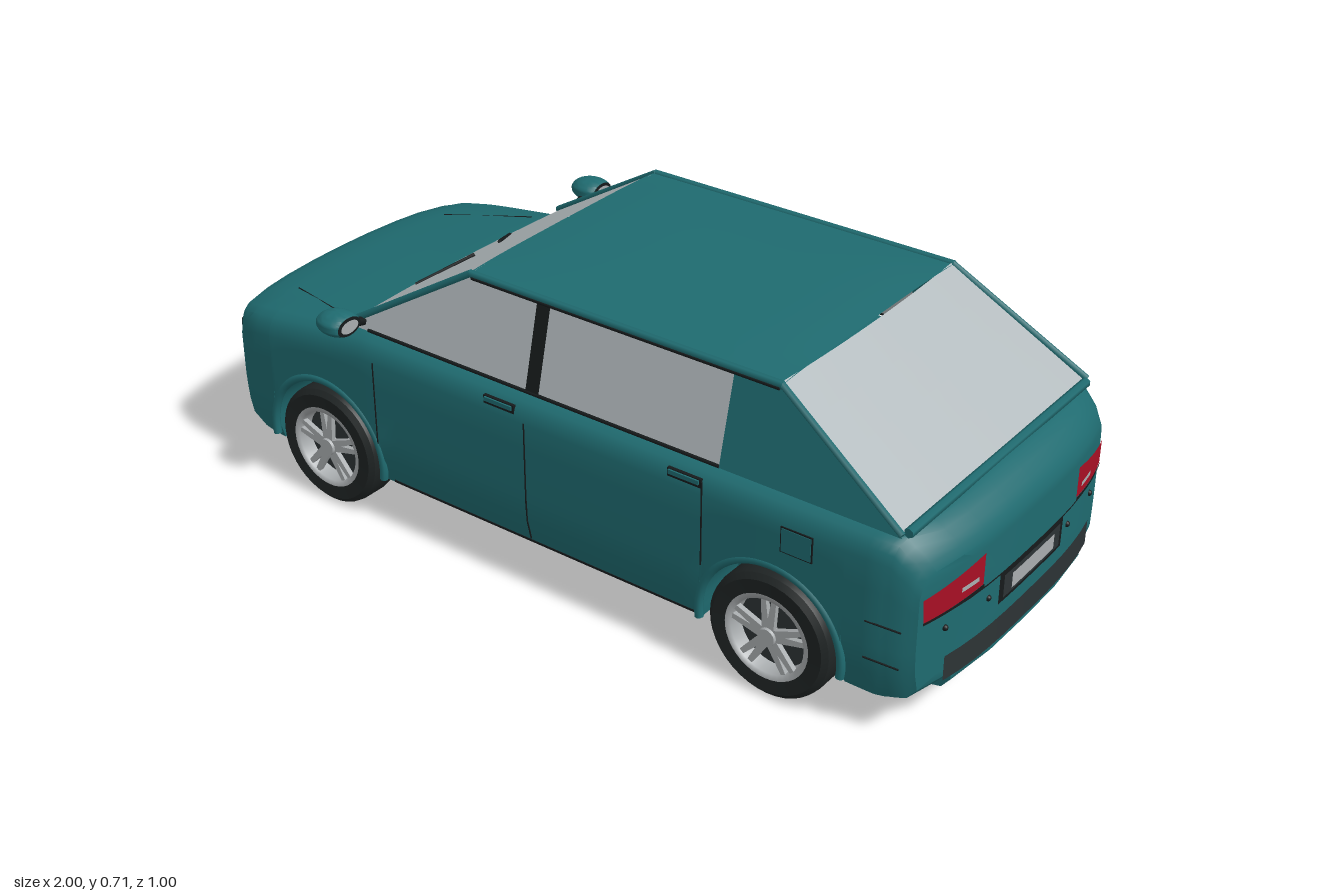
import * as THREE from 'three';
import { toCreasedNormals } from 'three/addons/utils/BufferGeometryUtils.js';

const paint = (name, color, side = THREE.FrontSide) => {
  const m = new THREE.MeshStandardMaterial({ color, side });
  m.name = name;
  return m;
};
const V = (x, y, z) => new THREE.Vector3(x, y, z);

// Piecewise linear lookup in [[x, value], ...]
const table = (t, x) => {
  let i = 1;
  while (i < t.length - 1 && x > t[i][0]) i++;
  const [a, b] = [t[i - 1], t[i]];
  return THREE.MathUtils.lerp(a[1], b[1], THREE.MathUtils.clamp((x - a[0]) / (b[0] - a[0]), 0, 1));
};

const END = 0.99, AXLES = [-0.63, 0.62], ARCH = 0.172, AXLE_Y = 0.15;
const topY = x => table([[-0.99, 0.385], [-0.97, 0.413], [-0.9, 0.432], [-0.75, 0.455], [-0.6, 0.475],
  [-0.5, 0.487], [0.88, 0.49], [0.93, 0.485], [0.97, 0.455], [0.99, 0.42]], x);
const bottomY = x => table([[-0.99, 0.12], [-0.96, 0.095], [-0.88, 0.08], [-0.82, 0.08], [-0.4, 0.1],
  [0.4, 0.1], [0.82, 0.08], [0.9, 0.08], [0.97, 0.095], [0.99, 0.12]], x);
const halfWidth = x => table([[-0.99, 0.36], [-0.965, 0.385], [-0.9, 0.403], [-0.8, 0.413], [-0.5, 0.417],
  [0.6, 0.418], [0.88, 0.414], [0.96, 0.402], [0.99, 0.385]], x);
const sideZ = (x, y) => halfWidth(x) * (1 - 0.06 * (Math.max(0, 0.22 - y) / 0.12) ** 2);
// The nose and tail bow back towards the corners
const warpX = (x, z) => x - Math.sign(x) * 0.055 * (Math.abs(z) / 0.42) ** 3 * THREE.MathUtils.smoothstep(Math.abs(x), 0.8, END);

// One closed cross-section of the lower body, with wheel wells
function section(x) {
  const top = topY(x), bot = bottomY(x), w = halfWidth(x);
  let sill = bot + 0.02;
  for (const a of AXLES) {
    const d = Math.abs(x - a);
    if (d <= ARCH + 1e-6) sill = AXLE_Y + Math.sqrt(Math.max(0, ARCH * ARCH - d * d));
  }
  const half = [[0, bot], [0.14, bot], [0.28, bot], [0.28, sill]];
  for (let k = 0; k <= 5; k++) {
    const y = THREE.MathUtils.lerp(sill, top - 0.06, k / 5);
    half.push([sideZ(x, y), y]);
  }
  half.push([w * 0.985, top - 0.035], [w * 0.955, top - 0.017], [w * 0.9, top - 0.007],
    [w * 0.7, top - 0.002], [w * 0.5, top], [w * 0.25, top + 0.002], [0, top + 0.003]);
  const back = half.slice(1, -1).reverse().map(([z, y]) => [-z, y]);
  return half.concat(back);
}

function bodyGeometry() {
  const xs = [-0.99, -0.98, -0.965, -0.94, -0.9, -0.86, -0.4, -0.2, 0, 0.2, 0.4, 0.85, 0.88, 0.91, 0.93, 0.95, 0.97, 0.98, 0.99];
  for (const a of AXLES) {
    xs.push(a - ARCH - 0.002, a + ARCH + 0.002);
    for (let i = 0; i <= 20; i++) xs.push(a - ARCH * Math.cos(Math.PI * i / 20));
  }
  xs.sort((a, b) => a - b);
  const rings = xs.map(x => [x, 1]);
  for (const s of [0.85, 0.65, 0.45, 0.2, 0]) { rings.unshift([-END, s]); rings.push([END, s]); }
  const pos = [], idx = [], n = section(0).length;
  rings.forEach(([x, s], i) => section(x).forEach(([z, y], j) => {
    pos.push(warpX(x, z * s), 0.27 + (y - 0.27) * s, z * s);
    if (i === rings.length - 1) return;
    const k = (j + 1) % n, a = i * n, b = a + n;
    idx.push(a + j, b + j, b + k, a + j, b + k, a + k);
  }));
  const g = new THREE.BufferGeometry();
  g.setAttribute('position', new THREE.Float32BufferAttribute(pos, 3));
  g.setIndex(idx);
  return toCreasedNormals(g, 0.6);
}

// Grid between four corners, each point moved by a rule
function patch(a, b, c, d, rule = p => p, nu = 12, nv = 4) {
  const g = new THREE.PlaneGeometry(1, 1, nu, nv), p = g.attributes.position;
  for (let i = 0; i < p.count; i++) {
    const u = p.getX(i) + 0.5, v = p.getY(i) + 0.5;
    const q = rule(a.clone().lerp(b, u).lerp(d.clone().lerp(c, u), v), u, v);
    p.setXYZ(i, q.x, q.y, q.z);
  }
  g.computeVertexNormals();
  return g;
}

export function createModel() {
  const car = new THREE.Group();
  car.name = 'car';
  const D = THREE.DoubleSide;
  const teal = paint('teal paint', 0x1f6b70, D), glass = paint('pale glass', 0xb2babd, D);
  const black = paint('black trim', 0x161a1b, D), rubber = paint('tyre rubber', 0x1f2424);
  const silver = paint('silver', 0xa9adaf, D), red = paint('lamp red', 0xa80f24, D);
  const grey = paint('dark grey', 0x2c3335, D);

  const add = (name, geo, mat, x = 0, y = 0, z = 0, parent = car) => {
    const m = new THREE.Mesh(geo, mat);
    m.name = name;
    m.position.set(x, y, z);
    parent.add(m);
    return m;
  };
  const box = (name, mat, w, h, d, x, y, z, parent) => add(name, new THREE.BoxGeometry(w, h, d), mat, x, y, z, parent);
  const rod = (name, mat, a, b, r) => {
    const m = add(name, new THREE.CylinderGeometry(r, r, a.distanceTo(b), 6), mat);
    m.position.copy(a).lerp(b, 0.5);
    m.quaternion.setFromUnitVectors(V(0, 1, 0), b.clone().sub(a).normalize());
  };
  // Thin plate following the nose (s = -1) or tail (s = 1); corners are [z, y]
  const endPlate = (name, mat, s, corners, off = 0.004) => {
    const [a, b, c, d] = corners.map(([z, y]) => V(0, y, z));
    add(name, patch(a, b, c, d, p => V(warpX(s * END, p.z) + s * off, p.y, p.z)), mat);
  };
  const rect = (z0, z1, y0, y1) => [[z0, y0], [z1, y0], [z1, y1], [z0, y1]];

  add('lowerBody', bodyGeometry(), teal);
  box('rearFloor', black, 0.42, 0.008, 0.54, 0.68, 0.079, 0);

  // Cabin: roof, windscreen, rear window
  add('roof', patch(V(-0.23, 0.695, 0.335), V(0.585, 0.695, 0.335), V(0.585, 0.695, -0.335), V(-0.23, 0.695, -0.335),
    (p, u, v) => (p.y += 0.014 * (1 - Math.abs(2 * v - 1) ** 4) * (1 - 0.6 * Math.abs(2 * u - 1) ** 6), p), 14, 14), teal);
  add('windscreen', patch(V(-0.565, 0.487, -0.38), V(-0.565, 0.487, 0.38), V(-0.222, 0.698, 0.33), V(-0.222, 0.698, -0.33),
    (p, u) => (p.x -= 0.012 * (1 - (2 * u - 1) ** 2), p)), glass);
  add('rearWindow', patch(V(0.895, 0.492, 0.383), V(0.895, 0.492, -0.383), V(0.58, 0.698, -0.33), V(0.58, 0.698, 0.33),
    (p, u) => (p.x += 0.01 * (1 - (2 * u - 1) ** 2), p)), glass);
  rod('rearLip', teal, V(0.905, 0.492, -0.37), V(0.905, 0.492, 0.37), 0.011);

  // Sloping cabin side, drawn as x, y outlines
  const cabinSide = (name, mat, s, pts, off = 0) => {
    const g = new THREE.ShapeGeometry(new THREE.Shape(pts.map(([x, y]) => new THREE.Vector2(x, y))));
    const p = g.attributes.position;
    for (let i = 0; i < p.count; i++) p.setZ(i, s * (0.383 - (p.getY(i) - 0.485) * 0.245 + off));
    if (s < 0) g.setIndex([...g.index.array].reverse());
    g.computeVertexNormals();
    add(name, g, mat);
  };
  for (const s of [1, -1]) {
    cabinSide('frontSideWindow', glass, s, [[-0.56, 0.485], [-0.035, 0.485], [-0.035, 0.69], [-0.225, 0.69]]);
    cabinSide('middlePillar', black, s, [[-0.038, 0.485], [-0.002, 0.485], [-0.002, 0.695], [-0.038, 0.695]], 0.003);
    cabinSide('rearSideWindow', glass, s, [[-0.005, 0.485], [0.472, 0.485], [0.472, 0.69], [-0.005, 0.69]]);
    cabinSide('rearPillar', teal, s, [[0.47, 0.485], [0.9, 0.485], [0.58, 0.697], [0.47, 0.697]], 0.002);
    rod('windscreenPillar', teal, V(-0.57, 0.487, s * 0.382), V(-0.225, 0.695, s * 0.333), 0.009);
    rod('rearWindowPillar', teal, V(0.58, 0.695, s * 0.333), V(0.9, 0.492, s * 0.384), 0.008);
    rod('roofRail', teal, V(-0.228, 0.693, s * 0.334), V(0.585, 0.693, s * 0.334), 0.009);
    rod('roofGutter', black, V(-0.22, 0.686, s * 0.339), V(0.58, 0.686, s * 0.339), 0.004);
    rod('beltTrim', black, V(-0.5, 0.488, s * 0.384), V(0.47, 0.488, s * 0.384), 0.004);
    rod('wiper', black, V(-0.55, 0.502, s * 0.17), V(-0.475, 0.553, s * 0.045), 0.005);
    rod('bonnetSeam', black, V(-0.85, 0.438, s * 0.26), V(-0.62, 0.468, s * 0.335), 0.002);

    // Doors
    for (const x of [-0.462, -0.018, 0.452]) for (let y = x > 0.3 ? 0.26 : 0.13; y < 0.42; y += 0.05)
      rod('doorSeam', black, V(x, y, s * sideZ(x, y)), V(x, y + 0.05, s * sideZ(x, y + 0.05)), 0.002);
    for (const x of [-0.09, 0.405]) {
      box('handleRecess', black, 0.085, 0.02, 0.008, x, 0.452, s * 0.411);
      box('doorHandle', teal, 0.076, 0.01, 0.014, x, 0.455, s * 0.412);
    }
    box('sillSeam', black, 0.86, 0.005, 0.004, 0, 0.123, s * sideZ(0, 0.123));
    box('fuelFlapEdge', black, 0.076, 0.06, 0.006, 0.683, 0.402, s * 0.416);
    box('fuelFlap', teal, 0.07, 0.054, 0.009, 0.683, 0.402, s * 0.416);
    for (const y of [0.2, 0.288])
      rod('bumperSeam', black, V(0.845, y, s * sideZ(0.845, y)), V(0.925, y, s * 0.409), 0.002);

    // Door mirrors: rounded shell cut flat at the back
    const shell = new THREE.SphereGeometry(1, 24, 16).scale(0.055, 0.028, 0.045), p = shell.attributes.position;
    for (let i = 0; i < p.count; i++) p.setX(i, Math.min(p.getX(i), 0.032));
    const mirror = new THREE.Group();
    mirror.name = 'doorMirror';
    mirror.position.set(-0.52, 0.531, s * 0.455);
    car.add(mirror);
    add('mirrorShell', toCreasedNormals(shell, 0.7), teal, 0, 0, 0, mirror);
    [[black, 0.036, 0.022, 0.033], [silver, 0.027, 0.015, 0.035]].forEach(([mat, rz, ry, x]) =>
      add('mirrorFace', new THREE.CircleGeometry(1, 24).scale(rz, ry, 1).rotateY(Math.PI / 2), mat, x, 0, 0, mirror));
    rod('mirrorArm', black, V(-0.52, 0.5, s * 0.37), V(-0.52, 0.522, s * 0.43), 0.011);

    // Tail lamps
    endPlate('tailLamp', red, 1, [[s * 0.2, 0.315], [s * 0.375, 0.305], [s * 0.38, 0.36], [s * 0.2, 0.39]]);
    endPlate('tailLampEdge', black, 1, [[s * 0.198, 0.308], [s * 0.378, 0.3], [s * 0.378, 0.306], [s * 0.198, 0.316]], 0.005);
    endPlate('reverseLamp', silver, 1, rect(s * 0.22, s * 0.275, 0.333, 0.344), 0.006);
    for (const z of [0.17, 0.31])
      add('parkingSensor', new THREE.SphereGeometry(0.007, 10, 8), black, warpX(END, z), 0.264, s * z);

    // Head lamps, fog lamps and lower vents
    endPlate('headLampFrame', black, -1, [[s * 0.185, 0.298], [s * 0.355, 0.305], [s * 0.35, 0.36], [s * 0.185, 0.372]]);
    endPlate('headLamp', silver, -1, [[s * 0.195, 0.305], [s * 0.347, 0.312], [s * 0.342, 0.353], [s * 0.195, 0.365]], 0.006);
    endPlate('fogLampFrame', black, -1, rect(s * 0.265, s * 0.335, 0.185, 0.23));
    endPlate('fogLamp', silver, -1, rect(s * 0.28, s * 0.32, 0.192, 0.223), 0.006);
    for (const z of [0.02, 0.14]) endPlate('lowerVent', black, -1, rect(s * z, s * (z + 0.08), 0.175, 0.21));
  }

  // Grille
  endPlate('grilleFrame', silver, -1, rect(-0.17, 0.17, 0.268, 0.37));
  endPlate('grille', black, -1, rect(-0.16, 0.16, 0.275, 0.345), 0.006);
  for (const y of [0.293, 0.31, 0.327]) endPlate('grilleBar', grey, -1, rect(-0.16, 0.16, y, y + 0.006), 0.008);

  // Tail details
  endPlate('plateRecess', black, 1, rect(-0.135, 0.135, 0.23, 0.303));
  endPlate('plateSurround', grey, 1, rect(-0.12, 0.12, 0.24, 0.295), 0.006);
  endPlate('numberPlate', silver, 1, rect(-0.09, 0.09, 0.249, 0.286), 0.008);
  endPlate('lowerBumperStrip', grey, 1, rect(-0.31, 0.31, 0.135, 0.195));
  endPlate('bumperSeam', black, 1, rect(-0.36, 0.36, 0.301, 0.305), 0.003);

  // Wheels, axis along z with the outer face at +z
  const tyre = new THREE.LatheGeometry([[0.1, -0.05], [0.135, -0.05], [0.147, -0.04], [0.15, -0.025], [0.15, 0.025],
    [0.147, 0.04], [0.135, 0.05], [0.1, 0.047], [0.1, -0.05]].map(([r, y]) => new THREE.Vector2(r, y)), 40).rotateX(Math.PI / 2);
  const rim = new THREE.LatheGeometry([[0.086, 0.01], [0.09, 0.046], [0.103, 0.049]].map(([r, y]) => new THREE.Vector2(r, y)), 40).rotateX(Math.PI / 2);
  const spoke = new THREE.ExtrudeGeometry(new THREE.Shape([[-0.014, 0.015], [0.014, 0.015], [0.019, 0.091],
    [0.007, 0.091], [0, 0.045], [-0.007, 0.091], [-0.019, 0.091]].map(([x, y]) => new THREE.Vector2(x, y))), { depth: 0.012, bevelEnabled: false });
  for (const x of AXLES) for (const s of [1, -1]) {
    const wheel = new THREE.Group();
    wheel.name = 'wheel';
    wheel.position.set(x, AXLE_Y, s * 0.371);
    if (s < 0) wheel.rotation.y = Math.PI;
    car.add(wheel);
    add('tyre', toCreasedNormals(tyre, 0.6), rubber, 0, 0, 0, wheel);
    add('rim', rim, silver, 0, 0, 0, wheel);
    add('brakeDisc', new THREE.CylinderGeometry(0.1, 0.1, 0.05, 32).rotateX(Math.PI / 2), grey, 0, 0, -0.012, wheel);
    for (let i = 0; i < 5; i++) add('spoke', spoke, silver, 0, 0, 0.032, wheel).rotation.z = i * Math.PI * 0.4;
    add('hubCap', new THREE.CylinderGeometry(0.02, 0.025, 0.02, 20).rotateX(Math.PI / 2), silver, 0, 0, 0.04, wheel);
    const arch = add('wheelArch', new THREE.TorusGeometry(0.176, 0.01, 8, 36, Math.PI + 0.3), teal, x, AXLE_Y, s * 0.411);
    arch.rotation.z = -0.15;
  }
  return car;
}
